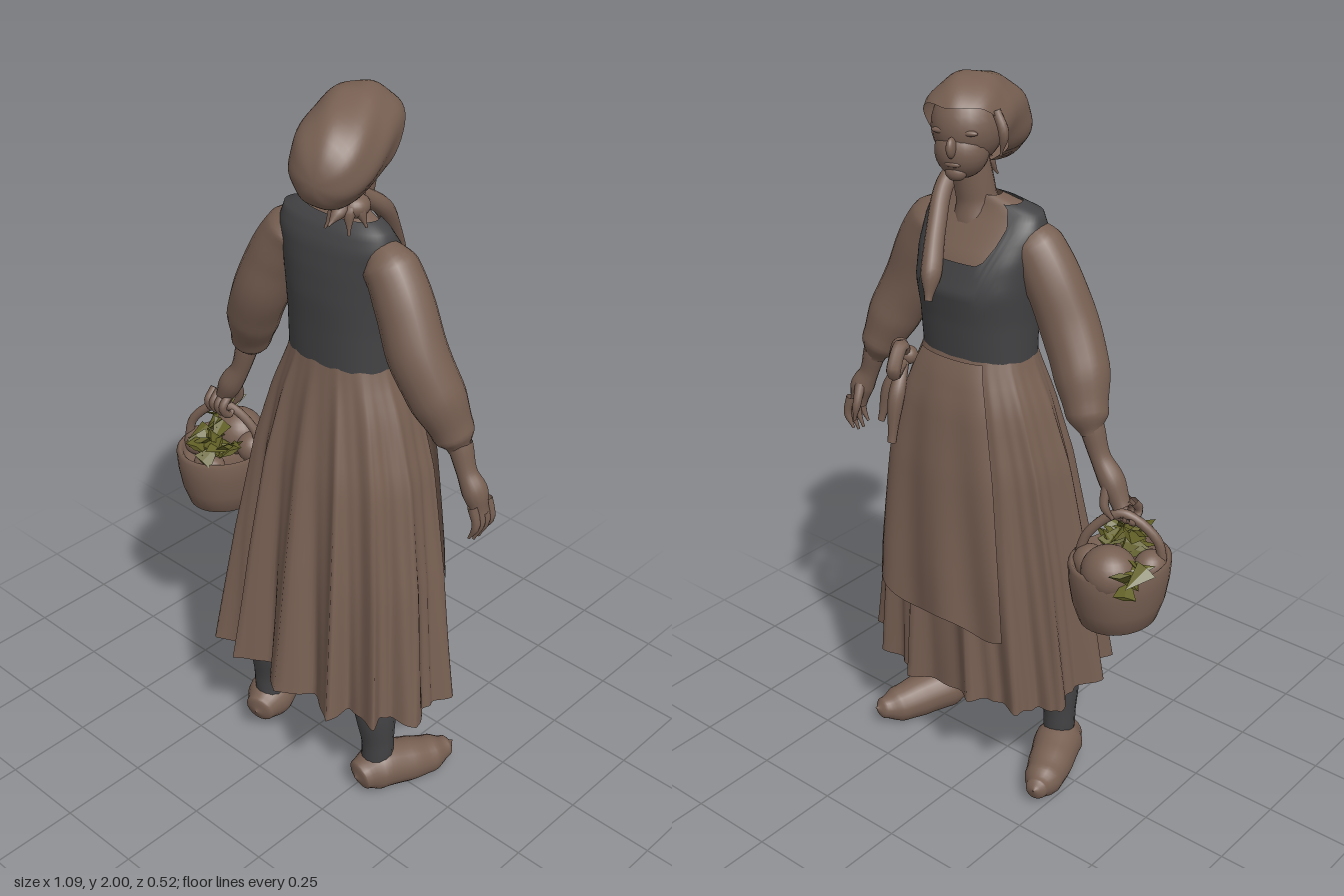
import * as THREE from 'three';
import { mergeVertices } from 'three/addons/utils/BufferGeometryUtils.js';

const mat = (name, color) => {
  const m = new THREE.MeshStandardMaterial({ color, side: THREE.DoubleSide });
  m.name = name;
  return m;
};
const V = (p) => new THREE.Vector3(...p);
const TAU = Math.PI * 2;

// Surface from a rule fn(u, v) -> [x, y, z]; u runs around, v runs along
function surface(nu, nv, fn) {
  const pos = [], idx = [];
  for (let j = 0; j <= nv; j++) for (let i = 0; i <= nu; i++) pos.push(...fn(i / nu, j / nv));
  for (let j = 0; j < nv; j++) for (let i = 0; i < nu; i++) {
    const a = j * (nu + 1) + i, b = a + 1, c = a + nu + 1, d = c + 1;
    idx.push(a, b, d, a, d, c);
  }
  let g = new THREE.BufferGeometry();
  g.setAttribute('position', new THREE.Float32BufferAttribute(pos, 3));
  g.setIndex(idx);
  g = mergeVertices(g, 1e-4);
  g.computeVertexNormals();
  return g;
}

// Round limb along a curve with a radius at each control point
function limb(points, radii, nu = 14, nv = 24, floor = -1) {
  const curve = new THREE.CatmullRomCurve3(points.map(V));
  const fr = curve.computeFrenetFrames(nv);
  return surface(nu, nv, (u, v) => {
    const k = Math.round(v * nv), s = v * (radii.length - 1), i = Math.min(Math.floor(s), radii.length - 2);
    const r = THREE.MathUtils.lerp(radii[i], radii[i + 1], THREE.MathUtils.smoothstep(s - i, 0, 1));
    const p = curve.getPoint(v);
    p.addScaledVector(fr.normals[k], r * Math.cos(u * TAU)).addScaledVector(fr.binormals[k], r * Math.sin(u * TAU));
    return [p.x, Math.max(p.y, floor), p.z];
  });
}

// Body cross-sections, rows of [y, centre x, half width, back z, front z]
function section(rows, th, y, out = 0, power = 0.88) {
  let i = 0;
  while (i < rows.length - 2 && y > rows[i + 1][0]) i++;
  const a = rows[i], b = rows[i + 1], t = THREE.MathUtils.clamp((y - a[0]) / (b[0] - a[0]), 0, 1);
  const [cx, rx, zb, zf] = [1, 2, 3, 4].map((k) => a[k] + (b[k] - a[k]) * t);
  const bend = (w) => Math.sign(w) * Math.abs(w) ** power;
  return [cx + (rx + out) * bend(Math.sin(th)), y, (zb + zf) / 2 + ((zb - zf) / 2 + out) * bend(Math.cos(th))];
}
const TORSO = [
  [1.28, 0.06, 0.155, 0.08, -0.15], [1.4, 0.06, 0.158, 0.085, -0.16], [1.48, 0.06, 0.165, 0.09, -0.172],
  [1.56, 0.06, 0.172, 0.088, -0.145], [1.63, 0.058, 0.178, 0.08, -0.095], [1.675, 0.058, 0.162, 0.06, -0.06],
  [1.705, 0.07, 0.07, 0.025, -0.055]];
const SKIRT = [
  [0.28, 0.08, 0.378, 0.28, -0.215], [0.7, 0.072, 0.322, 0.213, -0.21], [1.0, 0.065, 0.268, 0.158, -0.2],
  [1.18, 0.06, 0.21, 0.115, -0.185], [1.27, 0.06, 0.168, 0.092, -0.165], [1.32, 0.06, 0.15, 0.08, -0.15]];

export function createModel() {
  const root = new THREE.Group();
  const brown = mat('warm brown', 0x775f52);
  const dark = mat('charcoal', 0x434345);
  const green = mat('olive green', 0x636127);
  const add = (name, geo, m = brown, parent = root) => {
    const o = new THREE.Mesh(geo, m);
    o.name = name;
    parent.add(o);
    return o;
  };
  const ball = (name, p, s, m = brown, parent = root) => {
    const o = add(name, new THREE.SphereGeometry(1, 24, 16), m, parent);
    o.position.set(...p);
    o.scale.set(...s);
    return o;
  };

  // Chest and neck, with the bodice cut low at the front
  add('chest', surface(48, 20, (u, v) => section(TORSO, u * TAU, 1.3 + v * 0.405, -0.009)));
  add('neck', limb([[0.075, 1.62, -0.015], [0.08, 1.7, -0.025], [0.09, 1.82, -0.045]], [0.07, 0.052, 0.05]));
  add('bodice', surface(64, 24, (u, v) => {
    const scoop = 1 - THREE.MathUtils.smoothstep(Math.abs(u - 0.5) * TAU, 0.42, 0.85);
    const top = 1.692 - 0.135 * scoop;
    return section(TORSO, u * TAU, 1.28 + (top - 1.28) * v, 0.003);
  }), dark);

  // Skirt with sharp pleats, deepest at the back, and an apron
  add('skirt', surface(208, 26, (u, v) => {
    const th = u * TAU, hem = 0.315 + 0.025 * Math.cos(th) - 0.008 * Math.sin(th * 5);
    const y = 1.315 + (hem - 1.315) * (1 - v), k = 1.32 - y;
    const fold = Math.abs(Math.sin(6.5 * th + 0.5 * Math.sin(2 * th))) * (0.055 + 0.02 * Math.cos(th));
    return section(SKIRT, th, y, -k * fold - 0.006 * k * Math.sin(31 * th + 4 * y), 0.88 - 0.1 * k);
  }));
  add('apron', surface(60, 24, (u, v) => {
    const k = 1 - v, th = Math.PI + (u - 0.5) * 1.2, hem = 0.585 + 0.015 * Math.sin(u * 13) - 0.04 * u;
    const y = hem + (1.3 - hem) * v;
    return section(SKIRT, th, y, 0.012 + 0.026 * Math.sqrt(k) + 0.012 * k * Math.cos(th * 13 + y * 3));
  }));

  // Apron bow at the left hip
  ball('bowKnot', [0.21, 1.26, -0.15], [0.025, 0.025, 0.025]);
  add('bowLoop', limb([[0.21, 1.26, -0.15], [0.2, 1.3, -0.19], [0.19, 1.24, -0.23], [0.21, 1.25, -0.16]], [0.01, 0.02, 0.02, 0.01], 8));
  add('bowLoop', limb([[0.21, 1.26, -0.15], [0.25, 1.28, -0.14], [0.26, 1.21, -0.15], [0.22, 1.25, -0.15]], [0.01, 0.018, 0.018, 0.01], 8));
  add('bowTail', limb([[0.21, 1.26, -0.16], [0.2, 1.17, -0.21], [0.2, 1.04, -0.235]], [0.012, 0.022, 0.012], 8));
  add('bowTail', limb([[0.21, 1.26, -0.16], [0.25, 1.17, -0.18], [0.27, 1.07, -0.2]], [0.012, 0.022, 0.01], 8));

  // Sleeves, stockings and clogs, mirrored about the body's middle
  for (const [side, s] of [['left', 1], ['right', -1]]) {
    const m = (p) => [0.07 + s * p[0], p[1], p[2]];
    add(side + 'Sleeve', limb([[0.12, 1.62, 0], [0.165, 1.59, 0], [0.22, 1.5, 0.005], [0.265, 1.4, 0.01], [0.315, 1.3, -0.005], [0.355, 1.2, -0.03], [0.375, 1.15, -0.035]].map(m),
      [0.045, 0.07, 0.075, 0.077, 0.074, 0.056, 0.028], 18, 36));
    add(side + 'Stocking', limb([[0.21, 0.06, 0.06], [0.215, 0.15, 0.06], [0.205, 0.28, 0.065], [0.19, 0.5, 0.05]].map(m),
      [0.044, 0.046, 0.059, 0.066]), dark);
    add(side + 'Clog', limb([[0.2, 0.055, 0.138], [0.203, 0.055, 0.118], [0.218, 0.064, 0.055], [0.25, 0.054, -0.02], [0.277, 0.045, -0.09], [0.295, 0.05, -0.145], [0.303, 0.06, -0.17]].map(m),
      [0.001, 0.045, 0.069, 0.064, 0.055, 0.032, 0.001], 18, 36, 0));
  }

  // Left hand hanging open
  add('leftHand', limb([[0.445, 1.17, -0.035], [0.47, 1.1, -0.035], [0.495, 1.05, -0.04], [0.51, 0.99, -0.045]], [0.032, 0.027, 0.034, 0.024]));
  for (let i = 0; i < 4; i++) {
    const z = -0.075 + i * 0.02;
    add('leftFinger', limb([[0.51, 1.02, z], [0.522, 0.965, z - 0.004], [0.505, 0.905 + 0.012 * Math.abs(i - 1.5), z]], [0.013, 0.011, 0.004], 8, 10));
  }
  add('leftThumb', limb([[0.485, 1.06, -0.06], [0.477, 1.01, -0.085], [0.485, 0.96, -0.09]], [0.015, 0.012, 0.005], 8, 10));

  // Right hand closed on the basket handle
  add('rightHand', limb([[-0.3, 1.17, -0.03], [-0.325, 1.09, -0.025], [-0.36, 1.03, -0.02], [-0.395, 0.965, -0.02]], [0.032, 0.027, 0.034, 0.025]));
  for (let i = 0; i < 4; i++) {
    const x = -0.425 + i * 0.02;
    add('rightFinger', limb([[x, 0.99, -0.015], [x, 0.955, 0.012], [x, 0.925, -0.01], [x, 0.94, -0.035]], [0.012, 0.012, 0.011, 0.005], 8, 12));
  }
  add('rightThumb', limb([[-0.36, 1.02, -0.04], [-0.365, 0.97, -0.055], [-0.385, 0.935, -0.045]], [0.014, 0.012, 0.005], 8, 10));

  // Head, turned a little to its right
  const head = new THREE.Group();
  head.name = 'head';
  head.position.set(0.092, 0, -0.012);
  head.rotation.y = 0.3;
  root.add(head);
  ball('skull', [0, 1.88, -0.04], [0.09, 0.1, 0.1], brown, head);
  ball('jaw', [0, 1.825, -0.08], [0.068, 0.07, 0.066], brown, head);
  ball('nose', [0, 1.845, -0.143], [0.012, 0.026, 0.02], brown, head);
  ball('mouth', [0, 1.803, -0.136], [0.022, 0.008, 0.01], brown, head);
  ball('chin', [0, 1.778, -0.117], [0.028, 0.022, 0.022], brown, head);
  for (const s of [-1, 1]) ball('brow', [s * 0.035, 1.88, -0.123], [0.026, 0.008, 0.01], brown, head);
  add('hairLock', limb([[-0.09, 1.93, -0.08], [-0.112, 1.88, -0.085], [-0.102, 1.82, -0.08]], [0.012, 0.014, 0.003], 8, 10), brown, head);

  // Headscarf, full at the back and open over the face
  add('headscarf', surface(48, 24, (u, v) => {
    const a = u * TAU, rim = -0.06 - 0.092 * Math.sin(a);
    const z = 0.205 + (rim - 0.205) * Math.sin(v * Math.PI / 2) ** 1.6, q = Math.abs((z - 0.015) / 0.19);
    const f = Math.sqrt(Math.max(0, 1 - q ** 3.4)) * (1 + 0.02 * Math.sin(a * 7 + z * 25));
    const drop = 0.27 * Math.max(0, z) + 0.15 * Math.max(0, -z - 0.06);
    return [0.11 * f * Math.cos(a), 1.888 - drop + 0.113 * f * Math.sin(a), z];
  }), brown, head);

  // Scarf knot at the nape and the tail over the chest
  ball('scarfKnot', [0.16, 1.745, 0.05], [0.038, 0.03, 0.04]);
  for (const [x, y, z] of [[0.13, 1.7, 0.12], [0.18, 1.685, 0.09], [0.2, 1.7, 0.05], [0.16, 1.72, 0.14]])
    add('scarfEnd', limb([[0.155, 1.76, 0.05], [(x + 0.155) / 2, 1.745, (z + 0.06) / 2], [x, y, z]], [0.012, 0.018, 0.003], 8, 10));
  add('scarfTail', limb([[0.155, 1.77, 0.03], [0.16, 1.71, -0.05], [0.13, 1.62, -0.12], [0.095, 1.53, -0.18], [0.085, 1.46, -0.205]],
    [0.02, 0.024, 0.025, 0.027, 0.01], 12, 24));

  // Basket with handle and vegetables
  const basket = new THREE.Group();
  basket.name = 'basket';
  basket.position.set(-0.395, 0.63, -0.02);
  root.add(basket);
  const profile = [[0, 0], [0.075, 0], [0.098, 0.015], [0.115, 0.07], [0.124, 0.13], [0.127, 0.18], [0.118, 0.19], [0.11, 0.18], [0.1, 0.14], [0, 0.13]];
  add('basketBowl', new THREE.LatheGeometry(profile.map((p) => new THREE.Vector2(...p)), 32), brown, basket).scale.z = 1.18;
  add('basketHandle', limb([[-0.1, 0.16, 0.05], [-0.085, 0.25, 0.04], [0, 0.315, 0], [0.075, 0.25, -0.04], [0.1, 0.16, -0.05]], [0.013, 0.013, 0.013, 0.013, 0.013], 10), brown, basket);
  ball('cabbage', [-0.02, 0.185, -0.075], [0.075, 0.07, 0.072], brown, basket);
  ball('turnip', [0.06, 0.175, -0.05], [0.045, 0.045, 0.045], brown, basket);
  ball('turnip', [-0.075, 0.175, 0.03], [0.042, 0.042, 0.048], brown, basket);
  ball('turnip', [0.03, 0.165, 0.09], [0.05, 0.035, 0.04], brown, basket);

  // Leafy greens: a flat bunch inside the rim and a sprig spilling over it
  let seed = 7;
  const rnd = () => (seed = (seed * 16807) % 2147483647) / 2147483647;
  const leaf = new THREE.ConeGeometry(0.03, 0.08, 4).toNonIndexed();
  leaf.scale(1, 1, 0.25);
  leaf.computeVertexNormals();
  for (let i = 0; i < 30; i++) {
    const o = add('leaf', leaf, green, basket), spill = i % 4 === 0;
    if (spill) o.position.set(-0.125 + rnd() * 0.035, 0.18 + rnd() * 0.04, -0.13 + rnd() * 0.08);
    else o.position.set(-0.04 + rnd() * 0.125, 0.19 + rnd() * 0.055, 0.025 + rnd() * 0.075);
    o.rotation.set(1.57 + (rnd() - 0.5) * 1.8, (rnd() - 0.5) * 1.6, rnd() * TAU);
  }
  return root;
}
